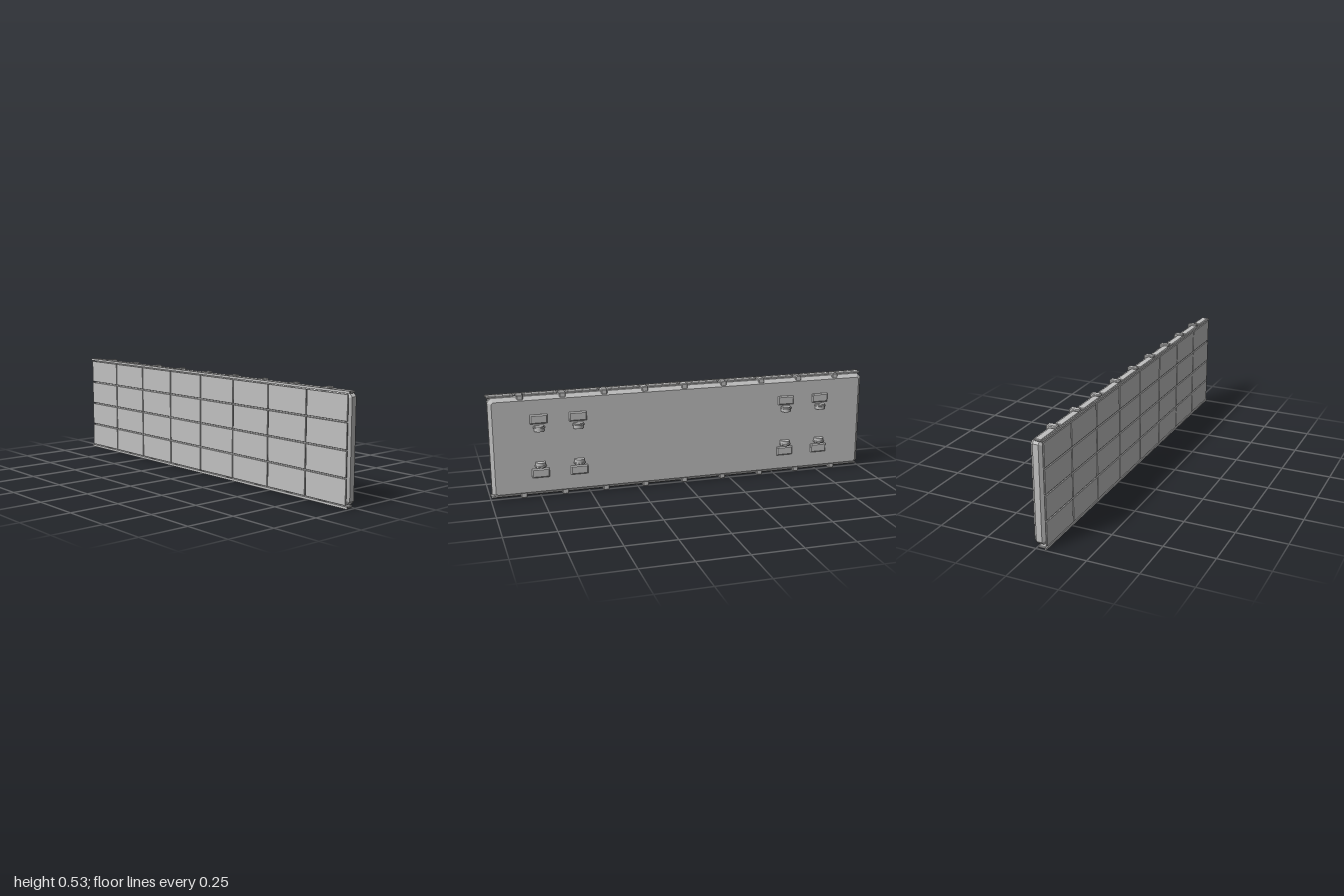
import * as THREE from 'three';

const MID = 0.265; // mid height of the panel

export function createModel() {
  const model = new THREE.Group();
  const grey = new THREE.MeshStandardMaterial({ color: 0xc0c0c0 });
  grey.name = 'panel grey';

  function add(name, geometry, x = 0, y = 0, z = 0) {
    const mesh = new THREE.Mesh(geometry, grey);
    mesh.name = name;
    mesh.position.set(x, y, z);
    model.add(mesh);
    return mesh;
  }

  // Slab with cut corners and chamfered front and back edges, centred on its origin
  function slab(w, h, d, chamfer, corner) {
    const a = w / 2, b = h / 2, c = corner;
    const outline = new THREE.Shape([
      [a - c, -b], [a, -b + c], [a, b - c], [a - c, b],
      [-a + c, b], [-a, b - c], [-a, -b + c], [-a + c, -b],
    ].map(([x, y]) => new THREE.Vector2(x, y)));
    const g = new THREE.ExtrudeGeometry(outline, {
      depth: d - 2 * chamfer, bevelThickness: chamfer, bevelSize: chamfer,
      bevelOffset: -chamfer, bevelSegments: 1,
    });
    g.translate(0, 0, -d / 2 + chamfer);
    return g;
  }

  // Main chamfered body
  add('body', slab(1.986, 0.508, 0.064, 0.018, 0.02), 0, MID, 0.014);

  // Front tiles, eight by four
  const tile = slab(0.243, 0.119, 0.007, 0.001, 0.001);
  for (let row = 0; row < 4; row++) {
    for (let col = 0; col < 8; col++) {
      add('frontTile', tile, (col - 3.5) * 0.248, MID + (row - 1.5) * 0.125, 0.0495);
    }
  }

  // Edge fittings, mirrored on the top and bottom
  const lip = new THREE.BoxGeometry(2, 0.011, 0.006);
  const rail = slab(0.165, 0.011, 0.035, 0.003, 0.003);
  const endRail = slab(0.13, 0.011, 0.035, 0.003, 0.003);
  const clip = slab(0.032, 0.03, 0.05, 0.004, 0.004);
  for (const s of [-1, 1]) {
    add('edgeLip', lip, 0, MID + s * 0.2565, 0.05);
    for (let i = -4; i <= 4; i++) {
      add('edgeClip', clip, i * 0.209, MID + s * 0.25, 0.011);
      if (i < 4) add('edgeRail', rail, (i + 0.5) * 0.209, MID + s * 0.2555, 0.0275);
    }
    for (const e of [-1, 1]) add('endRail', endRail, e * 0.93, MID + s * 0.2555, 0.0275);
  }

  // Rear mounts: a bevelled pad with a flanged round peg on its inner side
  const pad = slab(0.088, 0.047, 0.02, 0.006, 0.002);
  const peg = new THREE.CylinderGeometry(0.025, 0.025, 0.027, 24);
  const flange = new THREE.CylinderGeometry(0.029, 0.029, 0.006, 24);
  const rim = new THREE.TorusGeometry(0.027, 0.003, 8, 24);
  rim.rotateX(Math.PI / 2);
  for (const s of [-1, 1]) {
    for (const x of [-0.75, -0.555, 0.555, 0.75]) {
      add('rearPad', pad, x, MID + s * 0.139, -0.017);
      add('rearPeg', peg, x, MID + s * 0.0935, -0.024);
      add('pegFlange', flange, x, MID + s * 0.099, -0.024);
      add('pegRim', rim, x, MID + s * 0.099, -0.024);
    }
  }
  return model;
}
